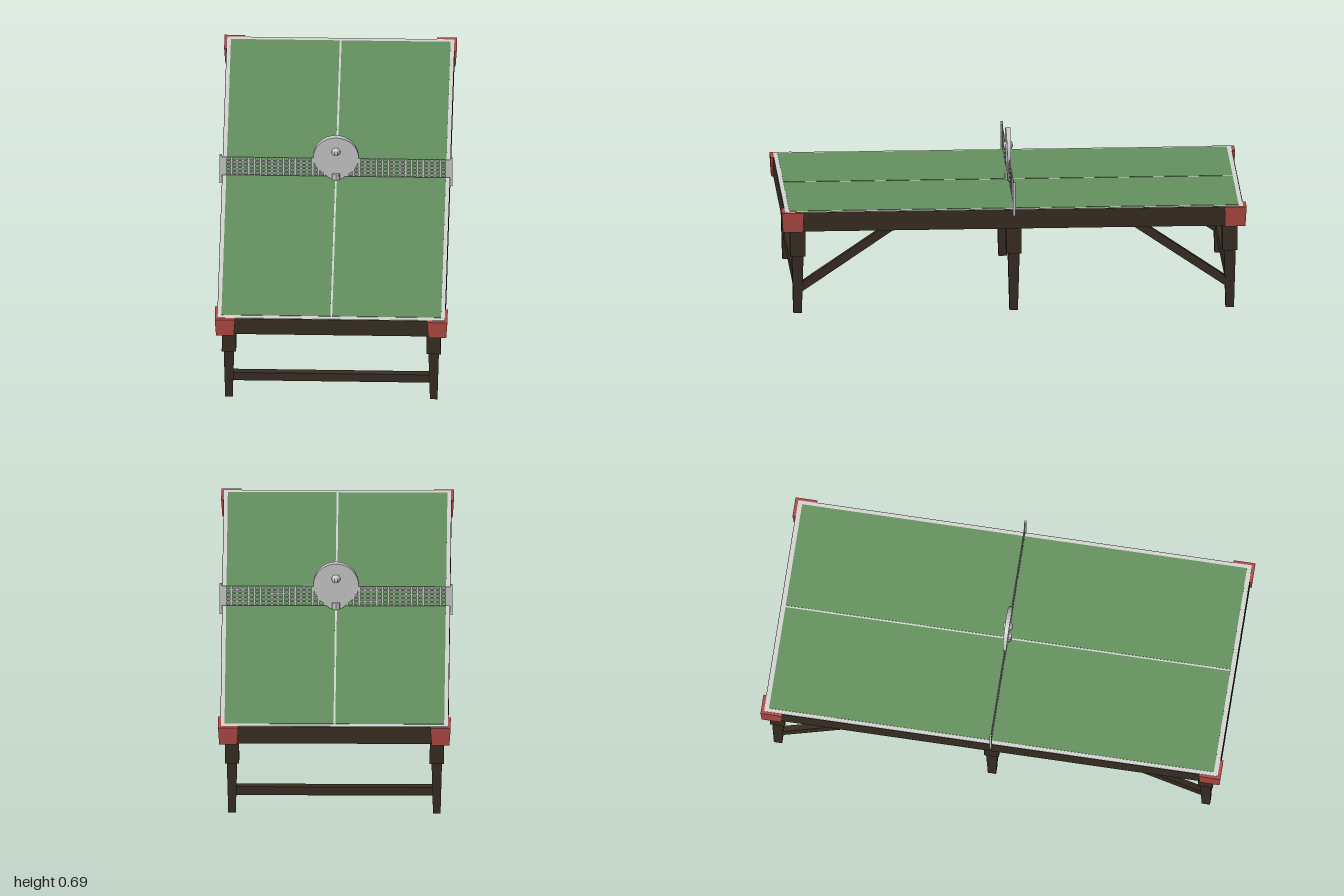
import * as THREE from 'three';

const mat = (name, color, side = THREE.FrontSide) => {
  const m = new THREE.MeshStandardMaterial({ color, side, flatShading: true });
  m.name = name;
  return m;
};

export function createModel() {
  const wood = mat('dark wood', 0x382d22);
  const red = mat('corner red', 0xb24a45);
  const green = mat('playing green', 0x65935f);
  const grey = mat('light grey', 0xc8c8c8);
  const white = mat('trim white', 0xd6d6d6);
  const model = new THREE.Group();
  model.name = 'tableTennisTable';

  const add = (name, geometry, material, x = 0, y = 0, z = 0, parent = model) => {
    const mesh = new THREE.Mesh(geometry, material);
    mesh.name = name;
    mesh.position.set(x, y, z);
    parent.add(mesh);
    return mesh;
  };
  const box = (name, w, h, d, material, x, y, z, parent) =>
    add(name, new THREE.BoxGeometry(w, h, d), material, x, y, z, parent);

  // Box whose lower end is scaled about its centre
  const taper = (w, h, d, kx, kz = kx) => {
    const g = new THREE.BoxGeometry(w, h, d);
    const p = g.attributes.position;
    for (let i = 0; i < p.count; i++) {
      if (p.getY(i) < 0) p.setXYZ(i, p.getX(i) * kx, p.getY(i), p.getZ(i) * kz);
    }
    g.computeVertexNormals();
    return g;
  };

  // Table top: frame, white border, two green halves with a narrow centre line between
  box('tableFrame', 0.98, 0.084, 1.976, wood, 0, 0.414, 0);
  box('whiteBorder', 0.976, 0.004, 1.972, white, 0, 0.456, 0);
  for (const s of [-1, 1]) {
    box('playingHalf', 0.468, 0.004, 1.934, green, s * 0.238, 0.4575, 0);
  }

  // Red corner caps
  for (const sx of [-1, 1]) for (const sz of [-1, 1]) {
    add('cornerCap', taper(0.087, 0.087, 0.095, 0.88, 0.9), red, sx * 0.4565, 0.4128, sz * 0.9525);
  }

  // Six stepped legs
  for (const sx of [-1, 1]) for (const z of [-0.93, 0, 0.93]) {
    const leg = new THREE.Group();
    leg.name = 'leg';
    leg.position.set(sx * 0.44, 0, z);
    model.add(leg);
    add('upperLeg', taper(0.059, 0.12, 0.066, 1.05, 0.98), wood, 0, 0.316, 0, leg);
    add('lowerLeg', taper(0.045, 0.257, 0.05, 0.72, 0.72), wood, 0, 0.1285, 0, leg);
  }

  // End rails and diagonal struts
  const dy = 0.29, dz = 0.425;
  for (const sz of [-1, 1]) {
    box('endRail', 0.87, 0.042, 0.026, wood, 0, 0.107, sz * 0.93);
    for (const sx of [-1, 1]) {
      const strut = box('strut', 0.026, 0.036, Math.hypot(dy, dz), wood,
        sx * 0.44, 0.1 + dy / 2, sz * (0.935 - dz / 2));
      strut.rotation.x = sz * Math.atan2(dy, dz);
    }
  }

  // Net with rows of square holes
  const rect = (T, x, y, w, h) => {
    const r = new T();
    r.moveTo(x, y); r.lineTo(x + w, y); r.lineTo(x + w, y + h); r.lineTo(x, y + h);
    r.closePath();
    return r;
  };
  const netShape = rect(THREE.Shape, -0.491, 0.472, 0.982, 0.097);
  const columns = 38, pitch = 0.95 / columns;
  for (let i = 0; i < columns; i++) for (let j = 0; j < 5; j++) {
    netShape.holes.push(rect(THREE.Path, -0.475 + i * pitch + 0.0045, 0.476 + j * 0.0192, 0.016, 0.0138));
  }
  add('net', new THREE.ExtrudeGeometry(netShape, { depth: 0.004, bevelEnabled: false }), grey, 0, 0, -0.002);
  for (const s of [-1, 1]) box('netPost', 0.01, 0.15, 0.01, grey, s * 0.495, 0.505, 0);

  // Paddle blade: rounded top narrowing to the handle, thinner towards the bottom
  const blade = new THREE.Shape();
  blade.moveTo(0.024, 0.458);
  blade.lineTo(0.071, 0.502);
  const n = 24, start = -0.7;
  for (let i = 0; i <= n; i++) {
    const a = start + (Math.PI - 2 * start) * i / n;
    blade.lineTo(0.098 * Math.cos(a), 0.575 + (a > 0 && a < Math.PI ? 0.111 : 0.1) * Math.sin(a));
  }
  blade.lineTo(-0.024, 0.458);
  blade.closePath();
  const bladeGeo = new THREE.ExtrudeGeometry(blade, { depth: 1, bevelEnabled: false });
  const bp = bladeGeo.attributes.position;
  for (let i = 0; i < bp.count; i++) {
    const half = 0.004 + 0.006 * (bp.getY(i) - 0.458) / 0.228;
    bp.setZ(i, (bp.getZ(i) - 0.5) * 2 * half);
  }
  bladeGeo.computeVertexNormals();
  add('paddleBlade', bladeGeo, grey);

  // Paddle handle passing through the table, and the ball
  const handle = add('paddleHandle', new THREE.CylinderGeometry(0.02, 0.021, 0.13, 8), grey, 0, 0.424, 0);
  handle.scale.z = 0.8;
  add('ball', new THREE.SphereGeometry(0.022, 10, 8), grey, 0, 0.61, 0);

  return model;
}
